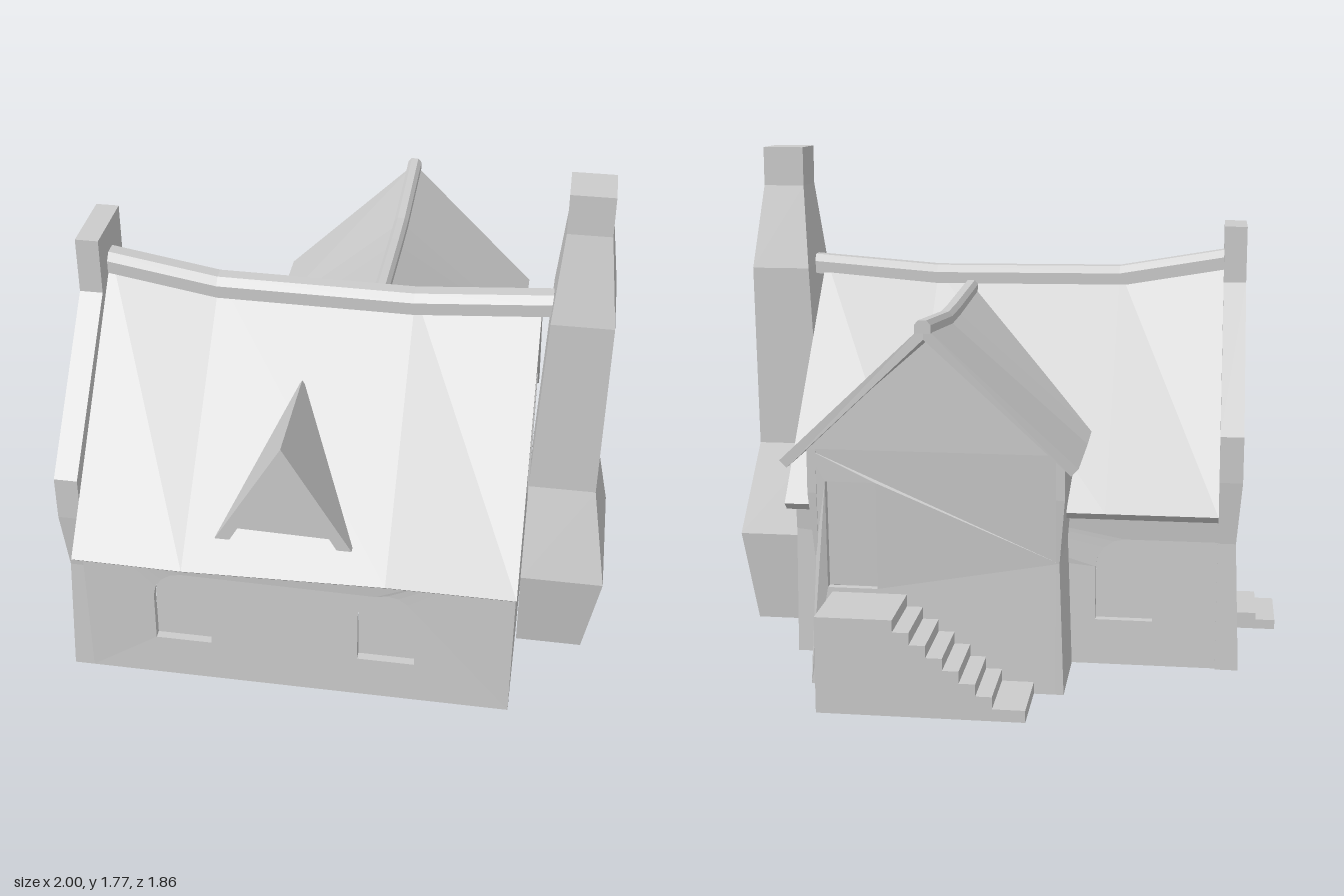
import * as THREE from 'three';

const material = new THREE.MeshStandardMaterial({ color: 0xcccccc, flatShading: true, side: THREE.DoubleSide });

// Walls pinch inwards a little at window height
const PINCH = 0.45, EAVE = 0.67;
const pinch = y => y < PINCH ? 0.018 * y / PINCH : Math.max(0, 0.018 * (EAVE - y) / (EAVE - PINCH));

function add(group, name, geometry) {
  const mesh = new THREE.Mesh(geometry, material);
  mesh.name = name;
  group.add(mesh);
  return mesh;
}

// Skin a series of closed rings of [x, y, z] points
function loft(rings, startCap = true) {
  const pos = [];
  const tri = (a, b, c) => pos.push(...a, ...b, ...c);
  const n = rings[0].length, last = rings[rings.length - 1];
  for (let i = 0; i < rings.length - 1; i++) {
    for (let j = 0; j < n; j++) {
      const k = (j + 1) % n;
      tri(rings[i][j], rings[i][k], rings[i + 1][k]);
      tri(rings[i][j], rings[i + 1][k], rings[i + 1][j]);
    }
  }
  for (let j = 1; j < n - 1; j++) {
    if (startCap) tri(rings[0][0], rings[0][j + 1], rings[0][j]);
    tri(last[0], last[j], last[j + 1]);
  }
  const g = new THREE.BufferGeometry();
  g.setAttribute('position', new THREE.Float32BufferAttribute(pos, 3));
  g.computeVertexNormals();
  return g;
}

const shapeOf = pts => new THREE.Shape(pts.map(p => new THREE.Vector2(...p)));

function archPoints(u0, u1, y0, y1) {
  const r = (u1 - u0) / 2, pts = [[u0, y0], [u1, y0]];
  for (let i = 0; i <= 8; i++) {
    const a = Math.PI * i / 8;
    pts.push([u0 + r + r * Math.cos(a), y1 - r + r * Math.sin(a)]);
  }
  return pts;
}

// Wall outline with pinched side edges; top lists the points above the eaves, right to left
const outline = (u0, u1, top) => shapeOf([
  [u0, 0], [u1, 0], [u1 - 0.018, PINCH], [u1, EAVE], ...top, [u0, EAVE], [u0 + 0.018, PINCH]]);

// Wall slab facing +z, turned by angle; each opening gets a recessed panel
function wall(group, name, shape, openings, panelName, thickness, angle, offset) {
  const place = g => {
    const p = g.attributes.position;
    for (let i = 0; i < p.count; i++) {
      if (p.getZ(i) > -thickness + 0.001) p.setZ(i, p.getZ(i) - pinch(p.getY(i)));
    }
    g.rotateY(angle).translate(...offset);
    g.computeVertexNormals();
    return g;
  };
  openings.forEach(o => shape.holes.push(new THREE.Path(o.map(p => new THREE.Vector2(...p)))));
  add(group, name, place(new THREE.ExtrudeGeometry(shape, { depth: thickness, bevelEnabled: false })
    .translate(0, 0, -thickness)));
  openings.forEach(o => add(group, panelName, place(new THREE.ShapeGeometry(shapeOf(o)).translate(0, 0, -0.03))));
}

// Hexagonal ridge beam section: [sideways, up] offsets
const beam = [[0.5, 0], [1, -0.5], [1, -1.4], [-1, -1.4], [-1, -0.5], [-0.5, 0]];

export function createModel() {
  const house = new THREE.Group();
  house.name = 'cottage';

  // Main walls
  const main = new THREE.Group();
  main.name = 'mainWalls';
  house.add(main);
  const rect = (u0, u1) => shapeOf([[u0, 0], [u1, 0], [u1, PINCH], [u1, EAVE], [u0, EAVE], [u0, PINCH]]);
  wall(main, 'frontWall', rect(-0.79, 0.705),
    [archPoints(-0.55, -0.35, 0.16, 0.45), archPoints(0.17, 0.37, 0.16, 0.45)], 'windowPane', 0.04, 0, [0, 0, 0.78]);
  wall(main, 'backWall', rect(-0.705, 0.79),
    [archPoints(0.36, 0.56, 0.16, 0.45)], 'windowPane', 0.04, Math.PI, [0, 0, -0.37]);
  wall(main, 'leftGable', outline(-0.78, 0.37, [[-0.2, 1.3]]), [], '', 0.04, Math.PI / 2, [0.705, 0, 0]);

  // Raised right gable with its stack and arched door
  wall(main, 'rightGable', outline(-0.38, 0.78,
    [[0.78, 0.83], [0.33, 1.3], [0.33, 1.5], [0.07, 1.5], [0.07, 1.3], [-0.38, 0.83]]),
  [archPoints(0.09, 0.3, 0.05, 0.45)], 'door', 0.08, -Math.PI / 2, [-0.86, 0, 0]);
  [[-1, 0.035], [-0.93, 0.06]].forEach(([x, h]) => add(house, 'doorStep',
    new THREE.BoxGeometry(-0.84 - x, h, 0.26).translate((x - 0.84) / 2, h / 2, 0.2)));

  // Sagging main roof: x, ridge height, eave z, eave height
  const stations = [[-0.78, 1.385, 0.915, 0.605], [-0.4, 1.32, 0.928, 0.612],
    [0.28, 1.315, 0.908, 0.615], [0.71, 1.35, 0.885, 0.595]];
  add(house, 'mainRoof', loft(stations.map(([x, r, z, y]) => [
    [x, r, 0.2], [x, y, z], [x, y - 0.026, z - 0.028], [x, r - 0.05, 0.2],
    [x, 0.552, -0.467], [x, 0.578, -0.495]])));
  add(house, 'mainRidge', loft(stations.map(([x, r], i) =>
    beam.map(([s, u]) => [i === 3 ? 0.745 : x, r + 0.02 + u * 0.05, 0.205 + s * 0.048]))));

  // Small A-frame dormer on the front slope
  const dormer = new THREE.Group();
  dormer.name = 'dormer';
  house.add(dormer);
  dormer.position.x = -0.07;
  add(dormer, 'dormerRoof', new THREE.ExtrudeGeometry(
    shapeOf([[0.23, 0.7], [0, 1.09], [-0.23, 0.7], [-0.18, 0.7], [0, 1.02], [0.18, 0.7]]),
    { depth: 0.4, bevelEnabled: false }).translate(0, 0, 0.445));
  add(dormer, 'dormerPanel', new THREE.ShapeGeometry(
    shapeOf([[-0.185, 0.7], [0.185, 0.7], [0, 1.03]])).translate(0, 0, 0.81));

  // Rear wing walls, with the upper door
  const wing = new THREE.Group();
  wing.name = 'rearWing';
  house.add(wing);
  wall(wing, 'wingGable', outline(-0.58, 0.28, [[0.28, 0.82], [-0.15, 1.23], [-0.58, 0.82]]),
    [[[-0.52, 0.34], [-0.35, 0.34], [-0.35, 0.71], [-0.52, 0.71]]], 'upperDoor', 0.04, Math.PI, [0, 0, -0.683]);
  for (const s of [-1, 1]) {
    const side = shapeOf([[0.34, 0], [0.683, 0], [0.668, PINCH], [0.683, EAVE], [0.683, 0.82],
      [0.28, 0.82], [0.34, EAVE], [0.34, PINCH]].map(([u, y]) => [s * u, y]));
    wall(wing, 'wingSideWall', side, [], '', 0.03, s * Math.PI / 2, [0.15 + s * 0.43, 0, 0]);
  }

  // Wing roof: ridge z, eave z, half width, ridge height, eave height
  const cx = 0.15;
  const wingStations = [[0.15, 0.15, 0.02, 1.265, 1.25], [-0.28, -0.28, 0.485, 1.24, 0.815],
    [-0.45, -0.45, 0.485, 1.235, 0.808], [-0.875, -0.823, 0.485, 1.27, 0.812]];
  add(wing, 'wingRoof', loft(wingStations.map(([zr, ze, w, r, e]) => {
    const k = Math.min(0.024, w / 2);
    return [[cx, r, zr], [cx + w, e, ze], [cx + w - k, e - k, ze], [cx, r - 0.045, zr],
      [cx - w + k, e - k, ze], [cx - w, e, ze]];
  })));
  add(wing, 'wingRidge', loft(wingStations.map(([z, , , r], i) =>
    beam.map(([s, u]) => [cx + s * 0.026, r + 0.018 + u * 0.03, i === 3 ? -0.888 : z]))));

  // Outside stair and landing up to the wing door
  const stair = [[0.505, 0], [0.505, 0.325]];
  const steps = 8, run = 0.43 / steps, rise = 0.325 / steps;
  for (let i = 0; i < steps; i++) {
    stair.push([0.25 - i * run, 0.325 - i * rise], [0.25 - i * run, 0.325 - (i + 1) * rise]);
  }
  stair.splice(-1, 1, [0.25 - 7 * run, rise], [-0.18, rise], [-0.18, 0]);
  add(house, 'outsideStair', new THREE.ExtrudeGeometry(shapeOf(stair), { depth: 0.275, bevelEnabled: false })
    .translate(0, 0, -0.935));

  // Big tapering chimney: y, x range, z range
  add(house, 'chimney', loft([
    [0, 0.71, 0.945, -0.03, 0.41], [0.335, 0.71, 1, -0.053, 0.46], [0.665, 0.712, 0.945, 0.05, 0.355],
    [1.33, 0.742, 0.952, 0.045, 0.35], [1.63, 0.77, 0.918, 0.11, 0.275], [1.77, 0.77, 0.918, 0.11, 0.275],
  ].map(([y, x0, x1, z0, z1]) => [[x1, y, z1], [x1, y, z0], [x0, y, z0], [x0, y, z1]]), false));

  return house;
}
